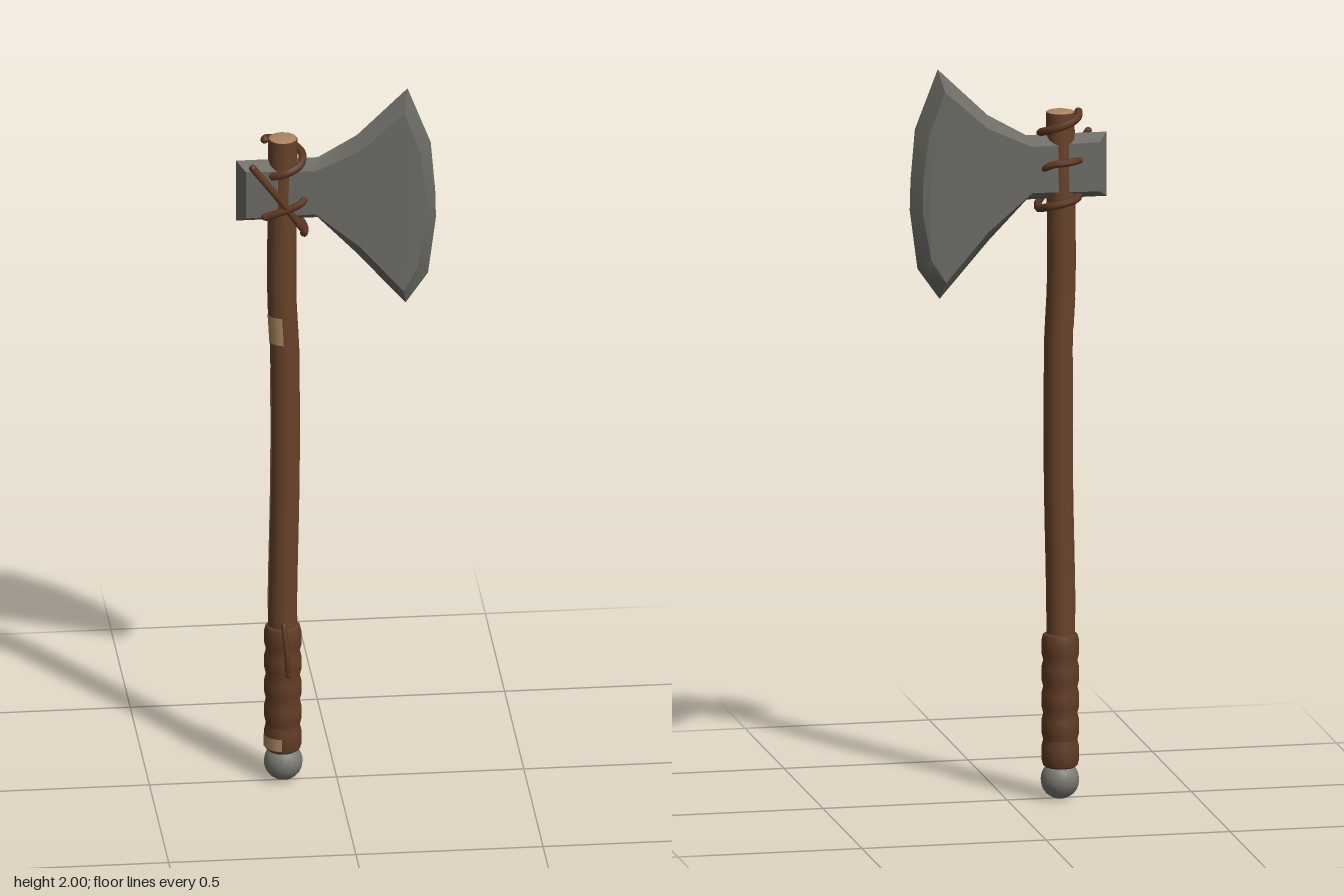
import * as THREE from 'three';
import { toCreasedNormals } from 'three/addons/utils/BufferGeometryUtils.js';

const mat = (name, color, side = THREE.FrontSide) => {
  const m = new THREE.MeshStandardMaterial({ color, side });
  m.name = name;
  return m;
};

const Z = -0.007; // mid plane of the head and handle
const V = (x, y, z) => new THREE.Vector3(x, y, z);

// Gentle bend of the shaft: centre x at each height
const bend = new THREE.SplineCurve([
  [0.08, -0.143], [0.5, -0.144], [0.9, -0.137], [1.25, -0.138], [1.42, -0.146], [1.87, -0.143],
].map(([y, x]) => new THREE.Vector2(y, x)));
const centreX = (y) => bend.getPoint(THREE.MathUtils.clamp(
  y < 0.5 ? (y - 0.08) / 0.42 * 0.2
    : y < 0.9 ? 0.2 + (y - 0.5) / 0.4 * 0.2
      : y < 1.25 ? 0.4 + (y - 0.9) / 0.35 * 0.2
        : y < 1.42 ? 0.6 + (y - 1.25) / 0.17 * 0.2
          : 0.8 + (y - 1.42) / 0.45 * 0.2, 0, 1)).y;

// Open sleeve that follows the bent shaft
function sleeve(r, y0, y1, rows, start = 0, sweep = Math.PI * 2, sides = 12) {
  const g = new THREE.CylinderGeometry(r, r, y1 - y0, sides, rows, true, start, sweep);
  const p = g.attributes.position;
  for (let i = 0; i < p.count; i++) {
    const y = p.getY(i) + (y0 + y1) / 2;
    p.setXYZ(i, p.getX(i) + centreX(y), y, p.getZ(i) + Z);
  }
  g.computeBoundingSphere();
  return g;
}

// Axe head: bevelled outline, columns of [xBottom, yBottom, xTop, yTop, halfThickness]
function headGeometry() {
  const outer = [
    [-0.268, 1.635, -0.268, 1.81], [-0.05, 1.635, -0.05, 1.81], [0.05, 1.53, 0.055, 1.87],
    [0.185, 1.375, 0.19, 2.0], [0.245, 1.46, 0.252, 1.84], [0.266, 1.62, 0.264, 1.7],
  ];
  const inner = [
    [-0.245, 1.655, -0.245, 1.79, 0.033], [-0.06, 1.66, -0.06, 1.785, 0.037], [0.06, 1.56, 0.06, 1.84, 0.041],
    [0.175, 1.425, 0.178, 1.945, 0.038], [0.215, 1.49, 0.22, 1.83, 0.035], [0.237, 1.62, 0.236, 1.7, 0.032],
  ];
  const loop = (cols, s) => [
    ...cols.map((c) => [c[0], c[1], Z + s * (c[4] || 0)]),
    ...[...cols].reverse().map((c) => [c[2], c[3], Z + s * (c[4] || 0)]),
  ];
  const n = outer.length * 2;
  const pos = [...loop(outer, 0), ...loop(inner, 1), ...loop(inner, -1)].flat();
  const idx = [];
  const quad = (a, b, c, d) => idx.push(a, b, c, a, c, d);
  for (let i = 0; i < n; i++) {
    const j = (i + 1) % n;
    quad(i, j, n + j, n + i);
    quad(j, i, 2 * n + i, 2 * n + j);
  }
  for (let i = 0; i < outer.length - 1; i++) {
    const t = n - 1 - i;
    quad(n + i, n + i + 1, n + t - 1, n + t);
    quad(2 * n + i + 1, 2 * n + i, 2 * n + t, 2 * n + t - 1);
  }
  const g = new THREE.BufferGeometry();
  g.setAttribute('position', new THREE.Float32BufferAttribute(pos, 3));
  g.setIndex(idx);
  return toCreasedNormals(g, 0.6);
}

export function createModel() {
  const group = new THREE.Group();
  const wood = mat('dark wood', 0x68432a);
  const cut = mat('cut wood', 0xab8560, THREE.DoubleSide);
  const leather = mat('leather', 0x613c25);
  const cord = mat('cord', 0x5c3822);
  const steel = mat('steel', 0x6b6a63);
  const stone = mat('pommel grey', 0x7a7972);

  const add = (name, geometry, material, x = 0, y = 0, z = 0) => {
    const m = new THREE.Mesh(geometry, material);
    m.name = name;
    m.position.set(x, y, z);
    group.add(m);
    return m;
  };

  add('axeHead', headGeometry(), steel);

  // Shaft with its pale sawn end
  add('handle', sleeve(0.039, 0.4, 1.87, 24), wood);
  const end = add('handleEnd', new THREE.SphereGeometry(0.039, 12, 4, 0, Math.PI * 2, 0, Math.PI / 2), cut, centreX(1.87), 1.869, Z);
  end.scale.y = 0.15;

  // Bare patches where the bark and leather are worn away
  add('shaftChip', sleeve(0.0405, 1.28, 1.36, 2, 4.75, 1.4, 4), cut);
  add('shaftScrape', sleeve(0.0398, 0.5, 1.2, 12, 4.6, 0.4, 2), cut);
  add('gripChip', sleeve(0.0515, 0.1, 0.135, 1, 4.75, 1.4, 4), cut);

  // Wrapped grip made of bulging turns
  const profile = [new THREE.Vector2(0.036, 0.085)];
  const turns = 5;
  for (let i = 0; i < turns; i++) {
    const y = 0.09 + i * 0.072;
    [[0.002, 0.046], [0.018, 0.05], [0.054, 0.05], [0.07, 0.046]].forEach(([d, r]) => profile.push(new THREE.Vector2(r, y + d)));
  }
  profile.push(new THREE.Vector2(0.036, 0.452));
  add('grip', toCreasedNormals(new THREE.LatheGeometry(profile, 14), 0.7), leather, -0.143, 0, Z);

  add('pommel', new THREE.SphereGeometry(0.052, 16, 12), stone, -0.142, 0.053, Z);

  // Cords, each a capped tube through a few points
  const tie = (name, points, r) => {
    const curve = new THREE.CatmullRomCurve3(points);
    add(name, new THREE.TubeGeometry(curve, 32, r, 7), cord);
    [points[0], points[points.length - 1]].forEach((p) =>
      add(name + 'End', new THREE.SphereGeometry(r, 7, 6), cord, p.x, p.y, p.z));
  };

  // Top loop spiralling round the shaft end
  const loop = [];
  for (let i = 0; i <= 14; i++) {
    const a = Math.PI + (i / 14) * 5.4;
    loop.push(V(-0.141 + 0.051 * Math.cos(a), 1.868 - 0.09 * (i / 14), Z + 0.053 * Math.sin(a)));
  }
  tie('topLashing', loop, 0.011);
  tie('middleLashing', [V(-0.195, 1.66, 0.033), V(-0.14, 1.68, 0.042), V(-0.095, 1.7, 0.036),
    V(-0.088, 1.72, -0.03), V(-0.115, 1.737, -0.056), V(-0.14, 1.74, -0.06), V(-0.17, 1.742, -0.054), V(-0.19, 1.742, -0.035)], 0.01);
  tie('crossLashing', [V(-0.228, 1.805, 0.036), V(-0.155, 1.71, 0.042), V(-0.09, 1.615, 0.034)], 0.01);
  tie('bottomLashing', [V(-0.09, 1.608, 0.03), V(-0.086, 1.61, -0.01), V(-0.105, 1.622, -0.05),
    V(-0.14, 1.63, -0.06), V(-0.178, 1.638, -0.045), V(-0.192, 1.65, -0.005), V(-0.19, 1.66, 0.033)], 0.011);

  // Loose cord end hanging in front of the grip
  tie('gripCord', [V(-0.145, 0.465, 0.036), V(-0.142, 0.43, 0.05), V(-0.138, 0.38, 0.059), V(-0.135, 0.33, 0.058)], 0.008);

  return group;
}
